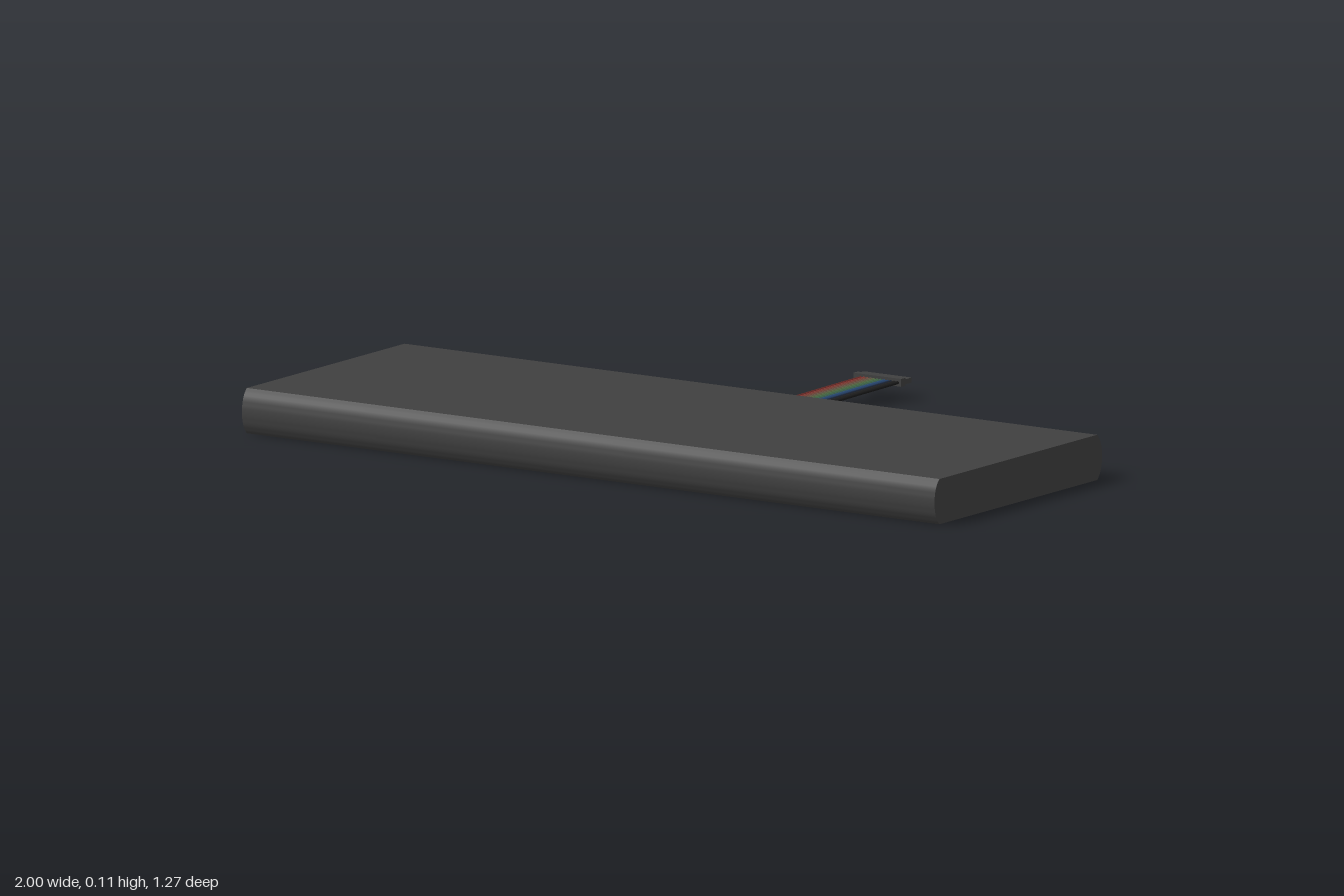
import * as THREE from 'three';
import { toCreasedNormals } from 'three/addons/utils/BufferGeometryUtils.js';

const mat = (color) => new THREE.MeshStandardMaterial({ color });

function addBox(parent, name, size, pos, material) {
  const mesh = new THREE.Mesh(new THREE.BoxGeometry(...size), material);
  mesh.position.set(...pos);
  mesh.name = name;
  parent.add(mesh);
  return mesh;
}

// Long slab with flat top and bottom and bulging front and back edges
function makeBody(material) {
  const h = 0.11, zFront = 0.615, zBack = -0.05, bulge = 0.021;
  const s = new THREE.Shape();
  // shape x runs along -z, so the extrusion runs along +x after turning
  s.moveTo(-zFront, 0);
  s.lineTo(-zBack, 0);
  s.bezierCurveTo(-zBack + bulge * 1.33, h * 0.2, -zBack + bulge * 1.33, h * 0.8, -zBack, h);
  s.lineTo(-zFront, h);
  s.bezierCurveTo(-zFront - bulge * 1.33, h * 0.8, -zFront - bulge * 1.33, h * 0.2, -zFront, 0);
  let geo = new THREE.ExtrudeGeometry(s, { depth: 2, bevelEnabled: false, curveSegments: 16 });
  geo.translate(0, 0, -1);
  geo.rotateY(Math.PI / 2);
  geo = toCreasedNormals(geo, 0.45);
  const mesh = new THREE.Mesh(geo, material);
  mesh.name = 'body';
  return mesh;
}

// Ribbon of coloured wires, bowed sideways and sagging a little
function makeCable() {
  const cable = new THREE.Group();
  cable.name = 'ribbonCable';
  const colors = [0x6b2a26, 0x8a3b35, 0x7a4a3c, 0x6a5a4a, 0x5c6b45, 0x4a7048,
    0x3f6650, 0x2c4f7a, 0x24406a, 0x1c2434, 0x222222, 0x1c1c1c];
  const pitch = 0.0097;
  colors.forEach((color, i) => {
    const x = (i - (colors.length - 1) / 2) * pitch + 0.001;
    const path = new THREE.CatmullRomCurve3([
      [0, 0.047, -0.05], [-0.014, 0.041, -0.2], [-0.022, 0.035, -0.33],
      [-0.014, 0.039, -0.47], [0, 0.045, -0.6],
    ].map(([dx, y, z]) => new THREE.Vector3(x + dx, y, z)));
    const wire = new THREE.Mesh(new THREE.TubeGeometry(path, 24, 0.0041, 8), mat(color));
    wire.name = 'wire' + (i + 1);
    cable.add(wire);
  });
  return cable;
}

// Plug at the end of the cable: thicker collar and thinner housing
function makeConnector(material) {
  const plug = new THREE.Group();
  plug.name = 'connector';
  addBox(plug, 'connectorCollar', [0.138, 0.019, 0.018], [-0.005, 0.045, -0.6], material);
  addBox(plug, 'connectorHousing', [0.138, 0.012, 0.03], [-0.005, 0.045, -0.62], material);
  return plug;
}

export function createModel() {
  const model = new THREE.Group();
  model.name = 'model';
  const dark = mat(0x404040);
  model.add(makeBody(dark), makeCable(), makeConnector(dark));
  return model;
}
